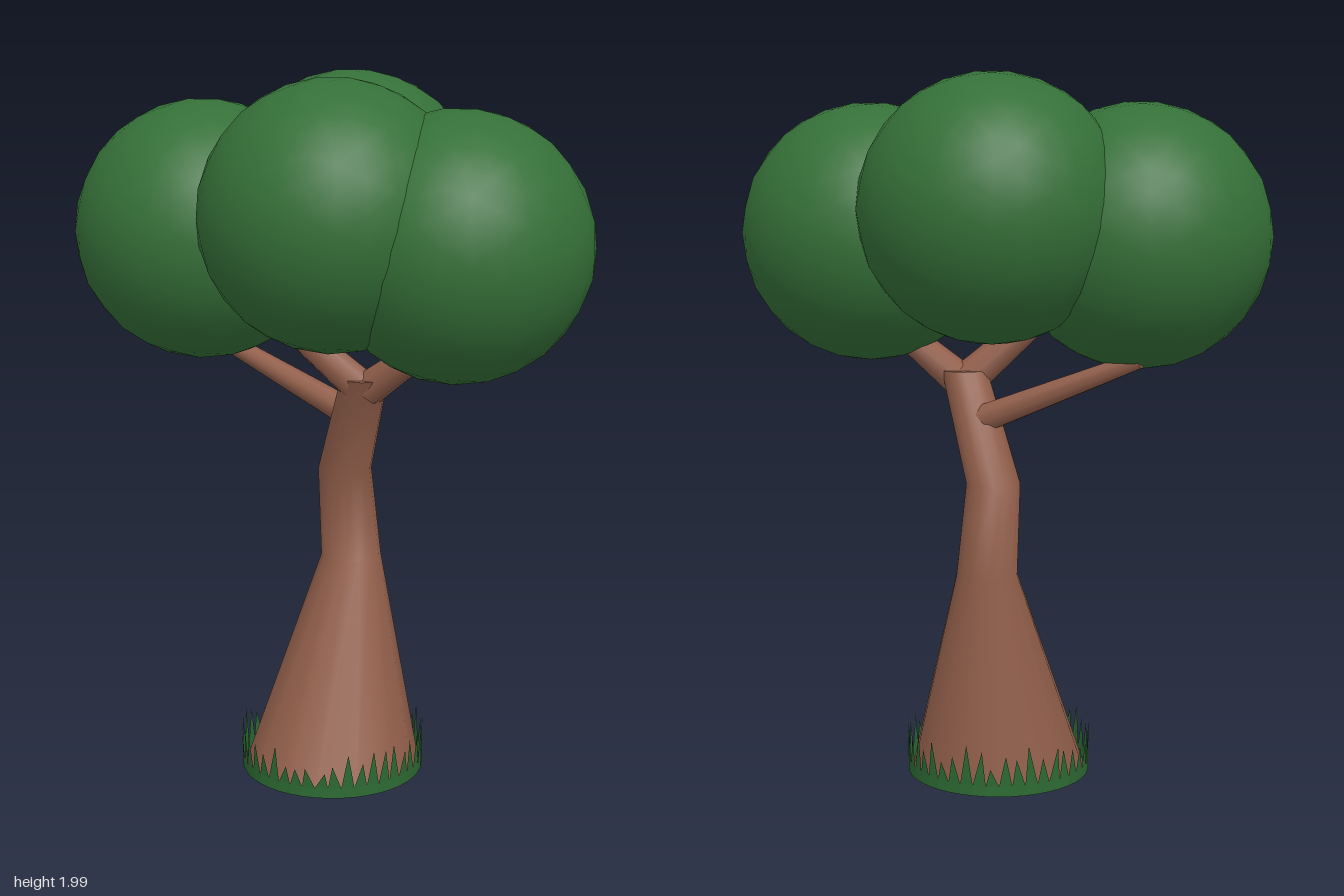
import * as THREE from 'three';
import { mergeVertices } from 'three/addons/utils/BufferGeometryUtils.js';

const bark = new THREE.MeshStandardMaterial({ color: 0x925f4b });
const leaf = new THREE.MeshStandardMaterial({ color: 0x357038 });
const blade = new THREE.MeshStandardMaterial({ color: 0x2d6a33, side: THREE.DoubleSide });

function addMesh(group, name, geometry, material) {
  const mesh = new THREE.Mesh(geometry, material);
  mesh.name = name;
  group.add(mesh);
  return mesh;
}

// Horizontal rings [x, y, z, radius] joined into a smooth closed trunk
function loft(rings, sides) {
  const geo = new THREE.CylinderGeometry(1, 1, 1, sides, rings.length - 1);
  const p = geo.attributes.position;
  for (let i = 0; i < p.count; i++) {
    const [x, y, z, r] = rings[Math.round((p.getY(i) + 0.5) * (rings.length - 1))];
    p.setXYZ(i, x + p.getX(i) * r, y, z + p.getZ(i) * r);
  }
  geo.deleteAttribute('uv');
  const merged = mergeVertices(geo);
  merged.computeVertexNormals();
  return merged;
}

// Tapered limb between two points
function addLimb(group, name, from, to, r0, r1) {
  const a = new THREE.Vector3(...from), b = new THREE.Vector3(...to);
  const dir = b.clone().sub(a);
  const mesh = addMesh(group, name, new THREE.CylinderGeometry(r1, r0, dir.length(), 8), bark);
  mesh.position.copy(a).add(b).multiplyScalar(0.5);
  mesh.quaternion.setFromUnitVectors(new THREE.Vector3(0, 1, 0), dir.normalize());
}

// Jagged ring of grass: one leaning triangle per blade above a low band
function grassRing(cx, cz, radius, count) {
  let seed = 7;
  const rand = () => (seed = (seed * 16807) % 2147483647) / 2147483647;
  const pos = [];
  const put = (t, y, r = radius) => {
    const a = (t / count) * Math.PI * 2;
    pos.push(cx + Math.sin(a) * r, y, cz + Math.cos(a) * r);
  };
  for (let i = 0; i < count; i++) {
    put(i, 0.005); put(i + 1, 0.005); put(i + 1, 0.035);
    put(i, 0.005); put(i + 1, 0.035); put(i, 0.035);
    const tip = 0.08 + rand() * 0.075;
    put(i, 0.035); put(i + 1, 0.035); put(i + 0.2 + rand() * 0.6, tip, radius + 0.003);
  }
  const geo = new THREE.BufferGeometry();
  geo.setAttribute('position', new THREE.Float32BufferAttribute(pos, 3));
  geo.computeVertexNormals();
  return geo;
}

export function createModel() {
  const tree = new THREE.Group();
  tree.name = 'tree';

  // Trunk: flared foot, bent neck
  addMesh(tree, 'trunk', loft([
    [0.012, 0.005, 0.022, 0.255],
    [0.045, 0.61, -0.1, 0.087],
    [0.027, 0.87, -0.095, 0.077],
    [0.108, 1.17, 0.05, 0.066],
  ], 14), bark);

  // Branches
  addLimb(tree, 'sideBranch', [0.06, 1.04, -0.04], [-0.37, 1.225, -0.19], 0.042, 0.025);
  addLimb(tree, 'leftFork', [0.12, 1.14, 0.05], [0.32, 1.3, 0.13], 0.05, 0.035);
  addLimb(tree, 'rightFork', [0.1, 1.14, 0.05], [-0.14, 1.35, 0.07], 0.052, 0.036);

  // Foliage balls
  const ball = new THREE.IcosahedronGeometry(0.366, 4);
  const balls = [
    ['rightFoliage', -0.375, 1.555, -0.08],
    ['leftFoliage', 0.374, 1.555, 0.14],
    ['backFoliage', 0.03, 1.634, -0.183],
    ['frontFoliage', 0.045, 1.634, 0.182],
  ];
  for (const [name, x, y, z] of balls) addMesh(tree, name, ball, leaf).position.set(x, y, z);

  // Grass around the foot
  addMesh(tree, 'grass', grassRing(0.012, 0.02, 0.262, 44), blade);

  return tree;
}
